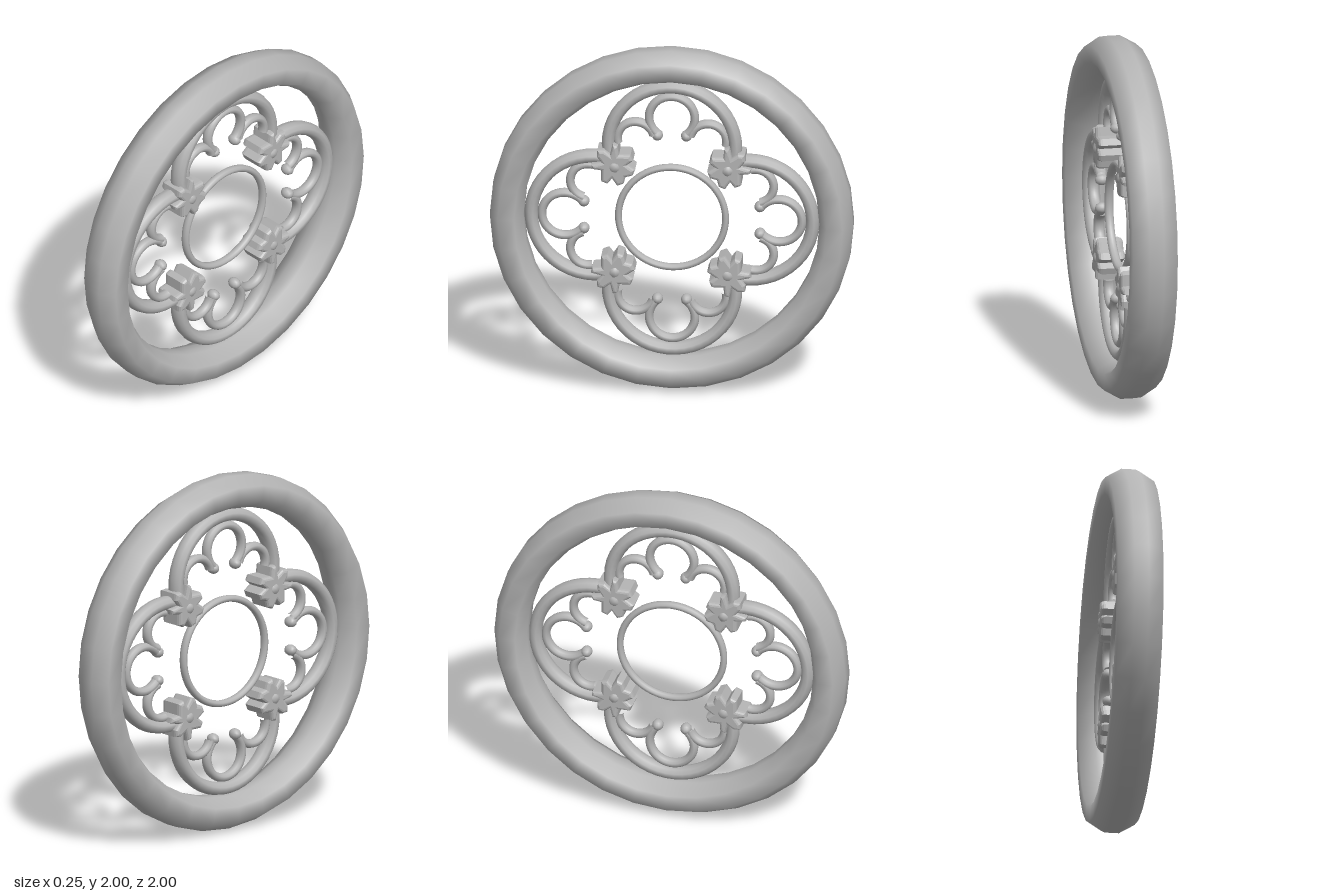
import * as THREE from 'three';

const stone = new THREE.MeshStandardMaterial({ color: 0xb4b4b4 });
stone.name = 'grey stone';

function part(name, geometry, x = 0, y = 0) {
  const mesh = new THREE.Mesh(geometry, stone);
  mesh.name = name;
  mesh.position.set(x, y, 0);
  return mesh;
}

// Curved bar in the XY plane from angle a to b (degrees), deeper in z by a factor
function arcBar(name, x, y, radius, tube, a, b, depth = 1.3) {
  const from = THREE.MathUtils.degToRad(a);
  const sweep = THREE.MathUtils.degToRad(b - a);
  const g = new THREE.TorusGeometry(radius, tube, 10, Math.ceil((b - a) / 8), sweep);
  g.rotateZ(from);
  g.scale(1, 1, depth);
  return part(name, g, x, y);
}

// Heavy outer rim: chamfered section turned around the window's axis
function outerRim() {
  const section = [
    [0.815, 0], [0.815, -0.04], [0.86, -0.125], [0.95, -0.125], [1, -0.04],
    [1, 0.04], [0.95, 0.125], [0.86, 0.125], [0.815, 0.04], [0.815, 0],
  ].map(([r, h]) => new THREE.Vector2(r, h));
  const g = new THREE.LatheGeometry(section, 32);
  g.rotateX(Math.PI / 2);
  return part('outerRim', g);
}

// One foil: a large arch holding a three-lobed cusped bar with knobbed ends
function foil() {
  const group = new THREE.Group();
  group.name = 'foil';
  group.add(arcBar('foilArch', 0, 0.425, 0.35, 0.037, -16, 196, 1.35));
  group.add(arcBar('middleLobe', 0, 0.59, 0.126, 0.024, -55, 235));
  for (const s of [1, -1]) {
    const [a, b] = s > 0 ? [-15, 165] : [15, 195];
    group.add(arcBar('sideLobe', s * 0.2, 0.46, 0.1, 0.024, a, b));
    const knob = part('cuspKnob', new THREE.SphereGeometry(0.031, 12, 8), s * 0.08, 0.485);
    knob.scale.z = 1.25;
    group.add(knob);
  }
  return group;
}

// Leafy boss where neighbouring foils meet; local +y points outward
function leafBoss() {
  const half = [
    [0, 0.135], [0.03, 0.11], [0.035, 0.07], [0.085, 0.1], [0.1, 0.075],
    [0.07, 0.035], [0.115, -0.01], [0.1, -0.045], [0.06, -0.04],
    [0.07, -0.09], [0.035, -0.105], [0, -0.085],
  ];
  const mirrored = half.slice(1, -1).reverse().map(([x, y]) => [-x, y]);
  const outline = [...half, ...mirrored].map(([x, y]) => new THREE.Vector2(x, y));
  const g = new THREE.ExtrudeGeometry(new THREE.Shape(outline), {
    depth: 0.1, bevelEnabled: true, bevelThickness: 0.025,
    bevelSize: 0.018, bevelOffset: -0.018, bevelSegments: 3,
  });
  g.translate(0, 0, -0.05);
  const leaf = part('leafBoss', g);
  // domed centre on both faces
  const heart = part('bossHeart', new THREE.SphereGeometry(0.06, 14, 10));
  heart.scale.z = 1.45;
  const group = new THREE.Group();
  group.name = 'boss';
  group.add(leaf, heart);
  group.position.y = 0.44;
  return group;
}

export function createModel() {
  const tracery = new THREE.Group();
  tracery.name = 'roseWindow';
  tracery.add(outerRim());

  // Thin central ring
  const hub = new THREE.TorusGeometry(0.295, 0.019, 10, 64);
  hub.scale(1, 1, 1.3);
  tracery.add(part('centreRing', hub));

  // Four foils on the axes and four bosses on the diagonals
  for (let i = 0; i < 4; i++) {
    const f = foil();
    f.rotation.z = i * Math.PI / 2;
    const arm = new THREE.Group();
    arm.name = 'bossArm';
    arm.add(leafBoss());
    arm.rotation.z = (i + 0.5) * Math.PI / 2;
    tracery.add(f, arm);
  }

  // Window plane faces sideways and stands on the ground
  tracery.rotation.y = Math.PI / 2;
  tracery.position.y = 1;
  const model = new THREE.Group();
  model.name = 'model';
  model.add(tracery);
  return model;
}
